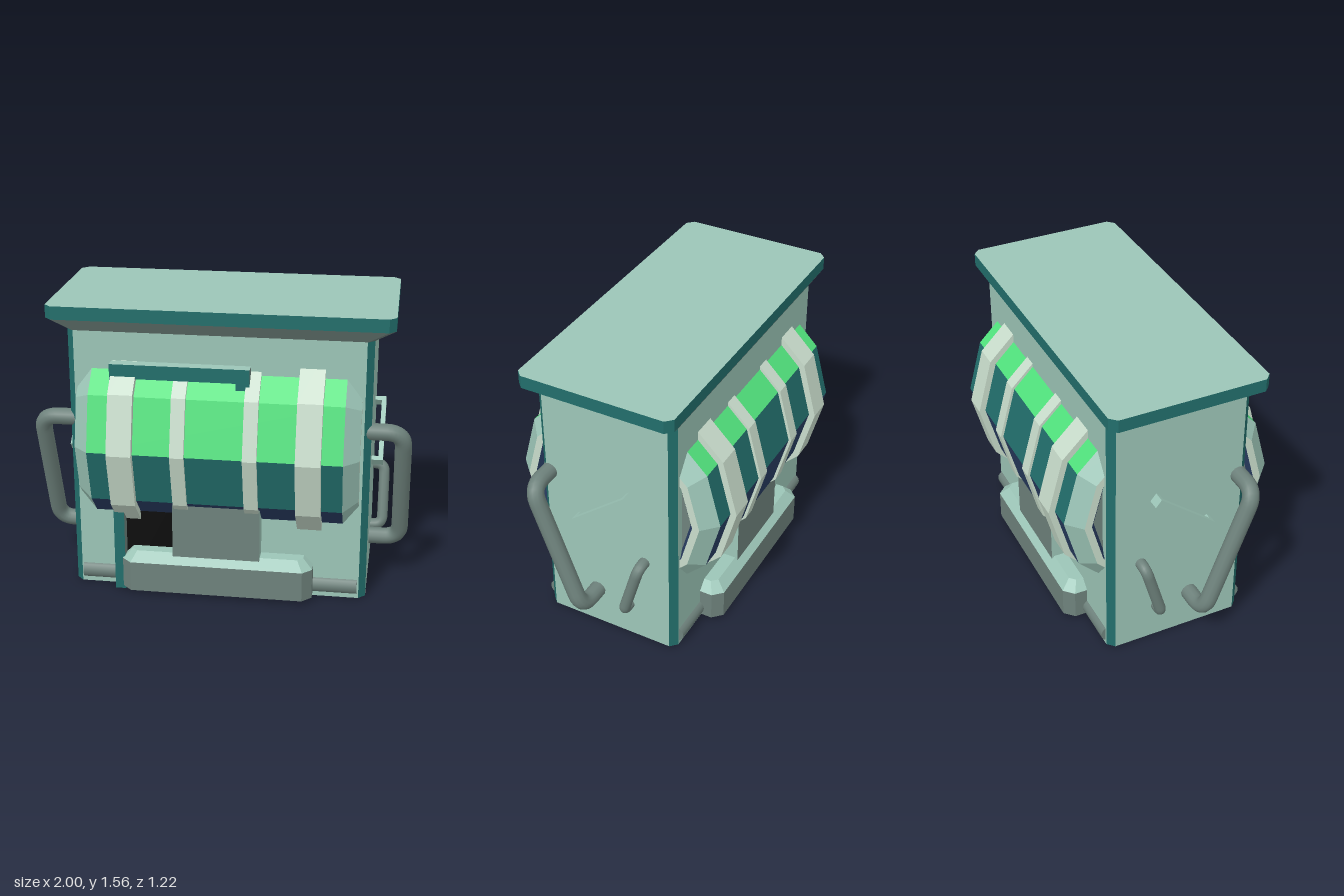
import * as THREE from 'three';

const mat = (name, color, side = THREE.FrontSide) => {
  const m = new THREE.MeshStandardMaterial({ color, side });
  m.name = name;
  return m;
};

// Flat-faced loft through equal-length rings; pick(ringIndex, sideIndex) gives the material
function loft(name, rings, pick) {
  const buckets = new Map();
  for (let i = 0; i < rings.length - 1; i++) {
    const lo = rings[i], hi = rings[i + 1], n = lo.length;
    for (let j = 0; j < n; j++) {
      const k = (j + 1) % n, m = pick(i, j);
      if (!buckets.has(m)) buckets.set(m, []);
      buckets.get(m).push(...lo[j], ...hi[j], ...hi[k], ...lo[j], ...hi[k], ...lo[k]);
    }
  }
  const geo = new THREE.BufferGeometry(), pos = [], mats = [];
  for (const [m, verts] of buckets) {
    geo.addGroup(pos.length / 3, verts.length / 3, mats.length);
    for (const v of verts) pos.push(v);
    mats.push(m);
  }
  geo.setAttribute('position', new THREE.Float32BufferAttribute(pos, 3));
  geo.computeVertexNormals();
  const mesh = new THREE.Mesh(geo, mats);
  mesh.name = name;
  return mesh;
}

// Rectangle with chamfered corners at height y; odd sides are the chamfers
const octagon = (y, x, z, c) => [
  [x, y, c - z], [x, y, z - c], [x - c, y, z], [c - x, y, z],
  [-x, y, z - c], [-x, y, c - z], [c - x, y, -z], [x - c, y, -z],
];

// Twelve-sided ring around the barrel axis
const AXIS_Y = 0.83;
const dodecagon = ([x, r]) => Array.from({ length: 12 }, (_, k) => {
  const a = k * Math.PI / 6;
  return [x, AXIS_Y + r * Math.sin(a), r * Math.cos(a)];
});

// Box given by its limits
function box(name, x0, x1, y0, y1, z0, z1, material) {
  const mesh = new THREE.Mesh(new THREE.BoxGeometry(x1 - x0, y1 - y0, z1 - z0), material);
  mesh.position.set((x0 + x1) / 2, (y0 + y1) / 2, (z0 + z1) / 2);
  mesh.name = name;
  return mesh;
}

// Bent tube handle: leaves the wall at a, runs outside to b, and returns
function handle(name, side, xOut, a, b, radius, bend, material) {
  const p = [[0.74, ...a], [xOut, ...a], [xOut, ...b], [0.74, ...b]]
    .map(([x, y, z]) => new THREE.Vector3(side * x, y, z));
  const toward = (from, to) => from.clone().add(to.clone().sub(from).setLength(bend));
  const path = new THREE.CurvePath();
  let start = p[0];
  for (const i of [1, 2]) {
    const enter = toward(p[i], p[i - 1]), leave = toward(p[i], p[i + 1]);
    path.add(new THREE.LineCurve3(start, enter));
    path.add(new THREE.QuadraticBezierCurve3(enter, p[i], leave));
    start = leave;
  }
  path.add(new THREE.LineCurve3(start, p[3]));
  const mesh = new THREE.Mesh(new THREE.TubeGeometry(path, 60, radius, 12), material);
  mesh.name = name;
  return mesh;
}

export function createModel() {
  const model = new THREE.Group();
  model.name = 'barrelCabinet';
  const pale = mat('pale sage', 0x9cc5b7);
  const teal = mat('teal', 0x226e6b);
  const green = mat('bright green', 0x50e07c);
  const navy = mat('navy', 0x293d62);
  const cream = mat('cream', 0xc8dccb);
  const grey = mat('grey', 0x6e827c, THREE.DoubleSide);
  const black = mat('black', 0x0c0c0c);

  // Cabinet with teal chamfered corners
  model.add(loft('cabinet',
    [octagon(0, 0, 0, 0), octagon(0, 0.79, 0.39, 0.036), octagon(1.43, 0.79, 0.39, 0.036)],
    (i, j) => (i === 1 && j % 2 ? teal : pale)));

  // Flared roof slab
  model.add(loft('roof',
    [octagon(1.42, 0, 0, 0), octagon(1.42, 0.78, 0.385, 0.036), octagon(1.49, 0.895, 0.428, 0.036),
      octagon(1.56, 0.895, 0.428, 0.036), octagon(1.56, 0, 0, 0)],
    (i) => [grey, grey, teal, pale][i]));

  // Barrel lying through the cabinet, with painted facets and recessed ends
  const half = [[0.715, 0], [0.715, 0.44], [0.74, 0.46], [0.74, 0.5], [0.66, 0.577]];
  const profile = [...half.map(([x, r]) => [-x, r]), ...half.slice().reverse()];
  const facets = [green, green, green, green, green, teal, navy, grey, grey, navy, navy, teal];
  const layers = [grey, navy, cream, pale];
  model.add(loft('barrel', profile.map(dodecagon),
    (i, j) => (i === 4 ? facets[j] : layers[Math.min(i, 8 - i)])));

  // Hoops around the barrel
  for (const [x, w, r] of [[0.485, 0.065, 0.612], [0.187, 0.037, 0.592]]) {
    for (const s of [-1, 1]) {
      const c = s * x;
      model.add(loft('hoop',
        [[c - w, 0.5], [c - w, r], [c + w, r], [c + w, 0.5]].map(dodecagon), () => cream));
    }
  }

  // Pedestal under the barrel and chamfered foot block, both passing front to back
  model.add(box('pedestal', -0.235, 0.23, 0.2, 0.53, -0.475, 0.475,
    [pale, pale, pale, grey, grey, grey]));
  model.add(loft('footBlock',
    [octagon(0.02, 0, 0, 0), octagon(0.02, 0.51, 0.51, 0.05), octagon(0.185, 0.51, 0.51, 0.05),
      octagon(0.235, 0.46, 0.46, 0.03), octagon(0.235, 0, 0, 0)],
    (i) => (i < 2 ? grey : pale)));

  // Rails along the bottom of front and back
  for (const s of [-1, 1]) {
    const rail = new THREE.Mesh(new THREE.CylinderGeometry(0.048, 0.048, 1.49, 16), grey);
    rail.rotation.z = Math.PI / 2;
    rail.position.set(0, 0.066, s * 0.367);
    rail.name = 'bottomRail';
    model.add(rail);
  }

  // Doorway on the front
  const frame = [grey, grey, pale, grey, teal, grey];
  model.add(
    box('doorwayLeftPost', 0.1, 0.17, 0, 1.2, 0.38, 0.455, frame),
    box('doorwayRightPost', -0.555, -0.498, 0, 1.2, 0.38, 0.455, frame),
    box('doorwayLintel', -0.555, 0.17, 1.2, 1.275, 0.38, 0.455, frame),
    box('doorwayOpening', -0.498, 0.1, 0, 1.2, 0.389, 0.397, black),
  );

  // Handles on both ends
  for (const s of [-1, 1]) {
    model.add(
      handle('largeHandle', s, 0.955, [0.935, 0.335], [0.23, 0.077], 0.045, 0.09, grey),
      handle('smallHandle', s, 0.855, [0.54, -0.213], [0.21, -0.117], 0.03, 0.05, grey),
    );
    // Flat slanted bracket
    const bracket = new THREE.Group();
    bracket.name = 'slantedBracket';
    bracket.add(
      box('bracketBar', 0.825, 0.85, -0.025, 0.025, -0.2, 0.2, pale),
      box('bracketEnd', 0.77, 0.83, -0.025, 0.025, 0.175, 0.2, pale),
      box('bracketEnd', 0.77, 0.83, -0.025, 0.025, -0.2, -0.175, pale),
    );
    for (const part of bracket.children) part.position.x *= s;
    bracket.position.set(0, 0.823, 0.008);
    bracket.rotation.x = Math.atan2(0.25, 0.31);
    model.add(bracket);
  }

  return model;
}
